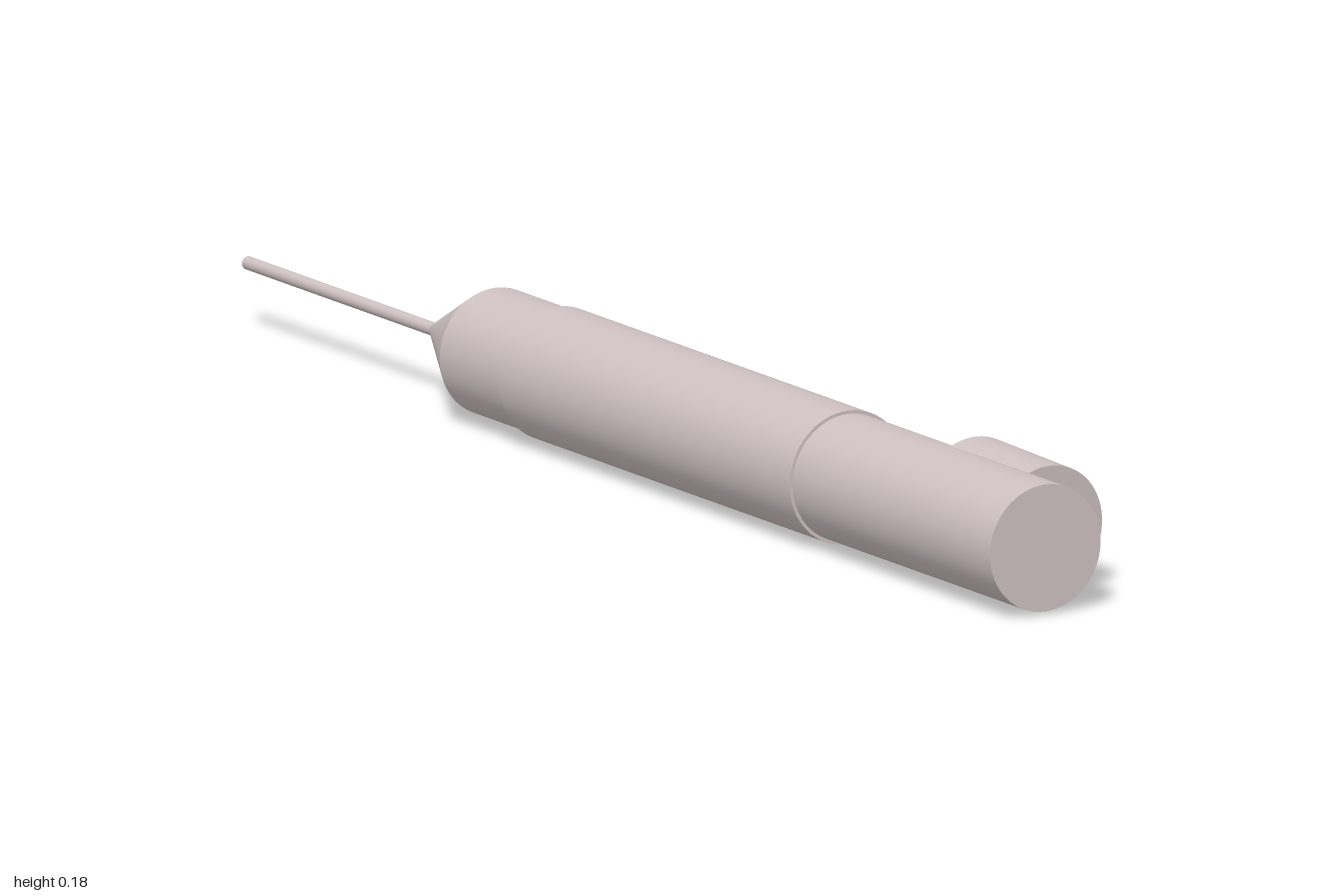
import * as THREE from 'three';

export function createModel() {
  const group = new THREE.Group();
  const shell = new THREE.MeshStandardMaterial({ color: 0xcdc0c0 });
  shell.name = 'pale rose grey';

  // Round section between two centres; radii are given for each end
  function section(name, from, to, rFrom, rTo, sides = 64) {
    const a = new THREE.Vector3(...from);
    const b = new THREE.Vector3(...to);
    const axis = b.clone().sub(a);
    const mesh = new THREE.Mesh(
      new THREE.CylinderGeometry(rTo, rFrom, axis.length(), sides), shell);
    mesh.name = name;
    mesh.position.copy(a).add(b).multiplyScalar(0.5);
    mesh.quaternion.setFromUnitVectors(new THREE.Vector3(0, 1, 0), axis.normalize());
    group.add(mesh);
  }

  // Coaxial parts from the thin tip at the back to the blunt front end
  const X = -0.031, Y = 0.0925;
  const coaxial = [
    ['needle', -1, -0.52, 0.009, 0.009, 32],
    ['taperedNose', -0.53, -0.38, 0.009, 0.086],
    ['barrel', -0.38, 1, 0.086, 0.086],
    ['gripSleeve', -0.225, 0.505, 0.0905, 0.0905],
  ];
  for (const [name, z0, z1, r0, r1, sides] of coaxial) {
    section(name, [X, Y, z0], [X, Y, z1], r0, r1, sides);
  }

  // Slightly tilted side stub sunk into the barrel
  section('sideStub', [0.025, 0.097, 0.7275], [0.0325, 0.0905, 0.9025], 0.0875, 0.0875);

  return group;
}
